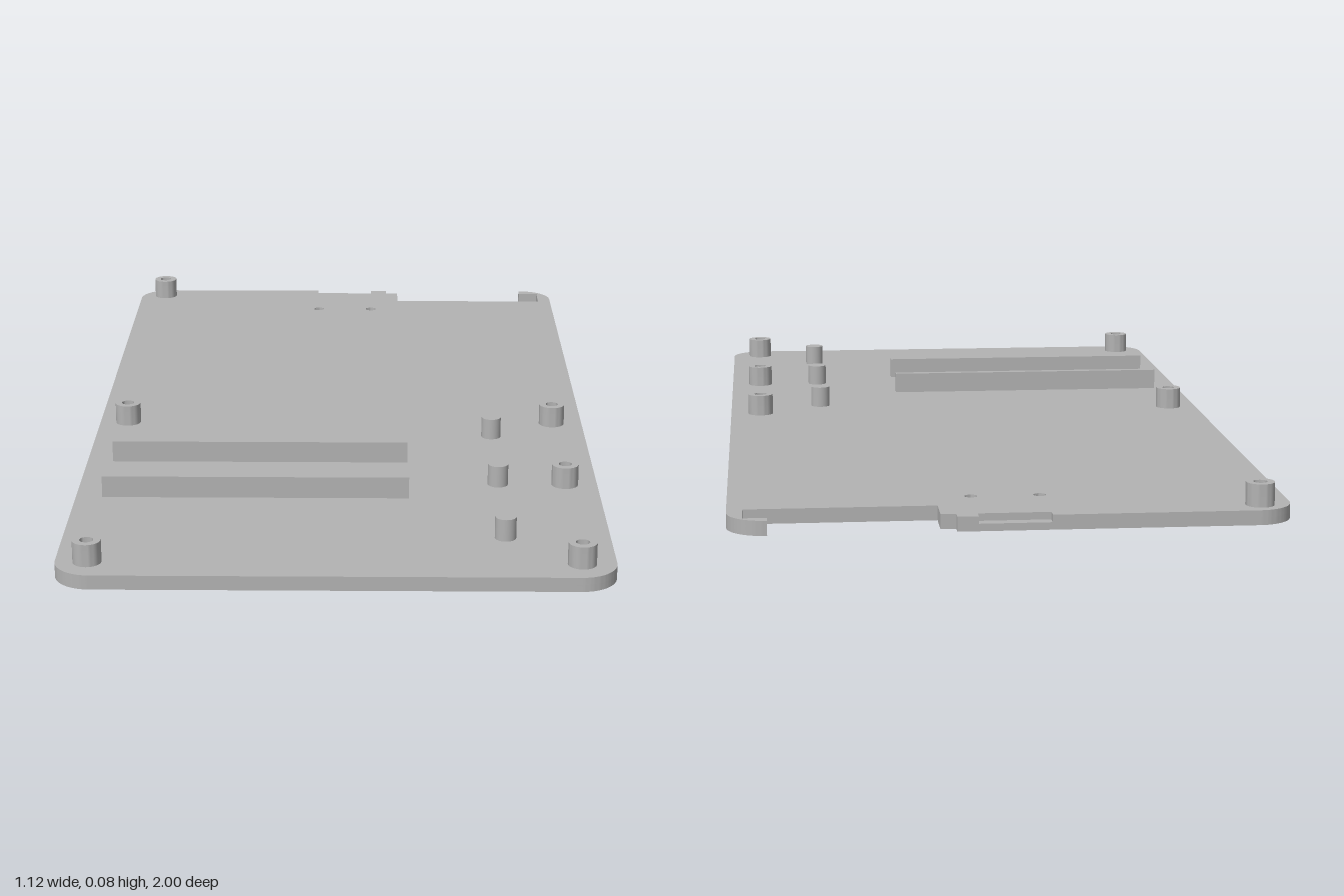
import * as THREE from 'three';
import { toCreasedNormals } from 'three/addons/utils/BufferGeometryUtils.js';

const T = 0.03, TOP = 0.077, W = 0.56, R = 0.075;
const SCREWS = [[-0.495, -0.95], [-0.495, 0.095], [0.49, 0.095], [0.49, 0.49], [-0.495, 0.93], [0.49, 0.93]];
const PEGS = [[0.345, 0.185], [0.345, 0.49], [0.345, 0.795]];
const PINHOLES = [[-0.07, -0.825], [0.07, -0.825]];

// Plate outline; shape y is -z, so the back edge is at y = 1
function plateShape(pocket) {
  const s = new THREE.Shape();
  s.moveTo(-W + R, -1);
  s.lineTo(W - R, -1);
  s.absarc(W - R, -1 + R, R, -Math.PI / 2, 0, false);
  s.lineTo(W, 1 - R);
  s.absarc(W - R, 1 - R, R, 0, Math.PI / 2, false);
  // Hook and corner cut-out
  [[0.48, 1], [0.48, 0.976], [0.528, 0.976], [0.528, 0.902], [0.143, 0.902], [0.143, 0.976], [0.112, 0.976], [0.112, 1]]
    .forEach(([x, y]) => s.lineTo(x, y));
  // Shallow pocket in the back edge
  if (pocket) [[0.07, 1], [0.07, 0.976], [-0.075, 0.976], [-0.075, 1]].forEach(([x, y]) => s.lineTo(x, y));
  s.lineTo(-W + R, 1);
  s.absarc(-W + R, 1 - R, R, Math.PI / 2, Math.PI, false);
  s.lineTo(-W, -1 + R);
  s.absarc(-W + R, -1 + R, R, Math.PI, Math.PI * 1.5, false);
  const hole = (r) => ([x, z]) => {
    s.holes.push(new THREE.Path().absarc(x, -z, r, 0, Math.PI * 2, true));
  };
  SCREWS.forEach(hole(0.026));
  PINHOLES.forEach(hole(0.013));
  return s;
}

export function createModel() {
  const model = new THREE.Group();
  model.name = 'backPlate';
  const grey = new THREE.MeshStandardMaterial({ name: 'grey', color: 0xb3b3b3 });

  const add = (name, geometry, x = 0, y = 0, z = 0) => {
    const mesh = new THREE.Mesh(geometry, grey);
    mesh.name = name;
    mesh.position.set(x, y, z);
    model.add(mesh);
  };

  // Plate in two layers, the upper one carrying the pocket
  [['plateLower', false], ['plateUpper', true]].forEach(([name, pocket], i) => {
    const g = new THREE.ExtrudeGeometry(plateShape(pocket), { depth: T / 2, bevelEnabled: false, curveSegments: 16 });
    g.rotateX(-Math.PI / 2);
    add(name, toCreasedNormals(g, 0.6), 0, i * T / 2, 0);
  });

  // Hollow screw posts, countersunk from below
  const profile = [[0.029, T], [0.029, TOP], [0.014, TOP], [0.014, 0.015], [0.026, 0]]
    .map(([r, y]) => new THREE.Vector2(r, y));
  const post = toCreasedNormals(new THREE.LatheGeometry(profile, 32), 0.6);
  SCREWS.forEach(([x, z]) => add('screwPost', post, x, 0, z));

  // Solid locating pegs
  const peg = new THREE.CylinderGeometry(0.022, 0.022, TOP - T, 32);
  PEGS.forEach(([x, z]) => add('peg', peg, x, (TOP + T) / 2, z));

  // Raised ribs
  const rib = new THREE.BoxGeometry(0.655, TOP - T, 0.018);
  [0.351, 0.569].forEach((z) => add('rib', rib, -0.176, (TOP + T) / 2, z));

  return model;
}
